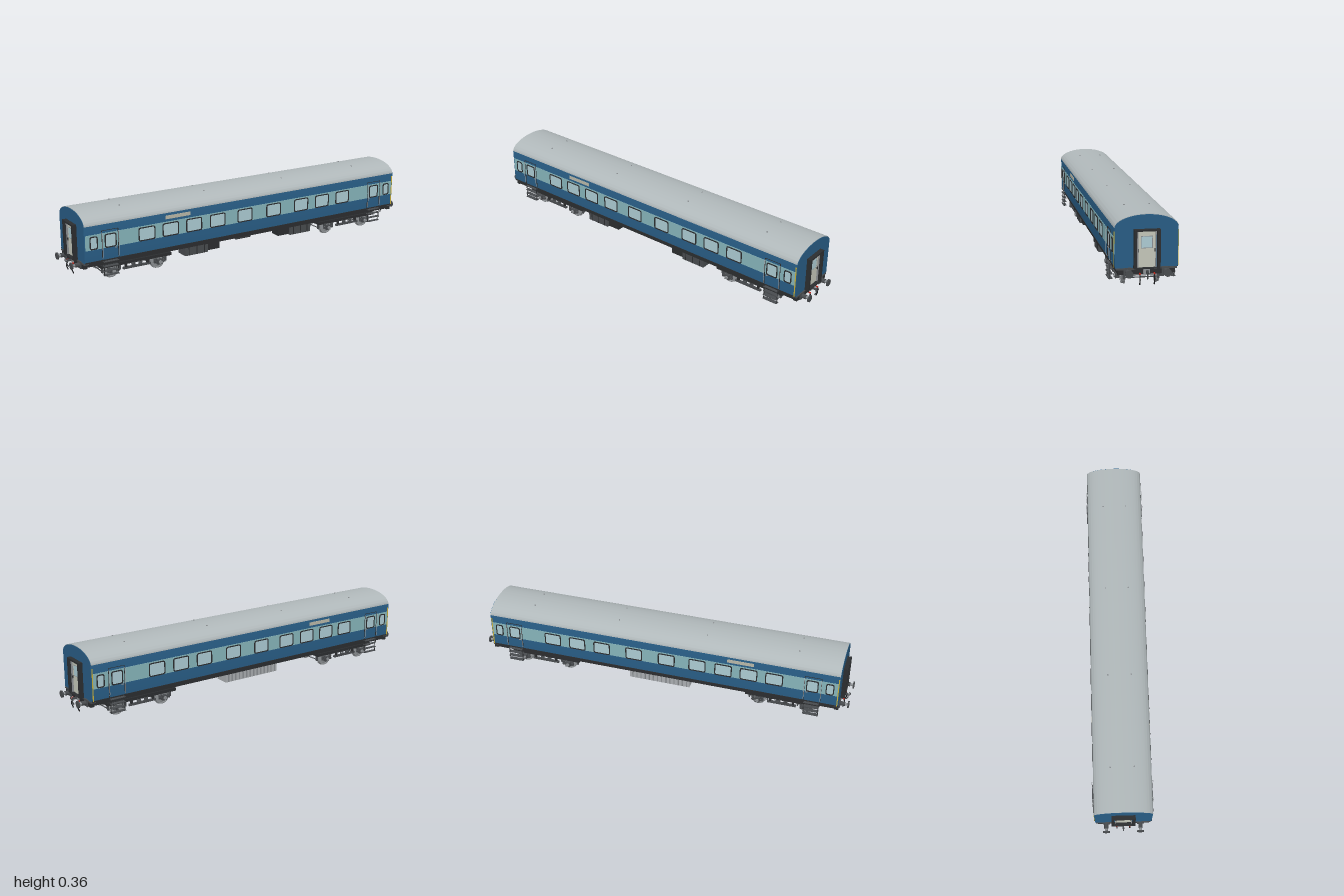
import * as THREE from 'three';
import { toCreasedNormals } from 'three/addons/utils/BufferGeometryUtils.js';

const mat = (color) => new THREE.MeshStandardMaterial({ color, side: THREE.DoubleSide });
const M = {
  blue: mat(0x285c84), band: mat(0x86b4ba), roof: mat(0xb0b8ba), dark: mat(0x2b2d2f), black: mat(0x1c1d1f),
  iron: mat(0x484b4e), steel: mat(0x8c9093), grey: mat(0xa9adb0), glass: mat(0xaccbd3), cream: mat(0xc3c6b9),
  yellow: mat(0xc9b03a), red: mat(0xc02418), board: mat(0xb9b8a8),
};

export function createModel() {
  const root = new THREE.Group();
  root.name = 'passengerCoach';
  const add = (name, geo, m, x = 0, y = 0, z = 0, parent = root) => {
    const mesh = new THREE.Mesh(geo, m);
    mesh.name = name;
    mesh.position.set(x, y, z);
    parent.add(mesh);
    return mesh;
  };
  const box = (name, m, w, h, d, x, y, z, parent) => add(name, new THREE.BoxGeometry(w, h, d), m, x, y, z, parent);
  // cylinder along the given axis
  const rod = (name, m, r, len, axis, x, y, z, parent, seg = 16) => {
    const g = new THREE.CylinderGeometry(r, r, len, seg);
    if (axis === 'x') g.rotateZ(Math.PI / 2);
    if (axis === 'z') g.rotateX(Math.PI / 2);
    return add(name, g, m, x, y, z, parent);
  };
  const tube = (name, m, pts, r, parent) => add(name, new THREE.TubeGeometry(
    new THREE.CatmullRomCurve3(pts.map((p) => new THREE.Vector3(...p)), false, 'catmullrom', 0.2), 16, r, 6), m, 0, 0, 0, parent);
  const group = (name) => { const g = new THREE.Group(); g.name = name; root.add(g); return g; };
  // cross-section in (z, y) extruded along the coach
  const alongX = (shape, len) => {
    const g = new THREE.ExtrudeGeometry(shape, { depth: len, bevelEnabled: false, curveSegments: 32 });
    g.translate(0, 0, -len / 2).rotateY(Math.PI / 2);
    return toCreasedNormals(g, 0.5);
  };
  const roundRect = (w, h, r, C = THREE.Shape) => {
    const s = new C(), x = w / 2, y = h / 2;
    s.moveTo(-x + r, -y);
    s.lineTo(x - r, -y); s.quadraticCurveTo(x, -y, x, -y + r);
    s.lineTo(x, y - r); s.quadraticCurveTo(x, y, x - r, y);
    s.lineTo(-x + r, y); s.quadraticCurveTo(-x, y, -x, y - r);
    s.lineTo(-x, -y + r); s.quadraticCurveTo(-x, -y, -x + r, -y);
    return s;
  };

  // body shell with arched ends
  const section = new THREE.Shape();
  section.moveTo(-0.143, 0.118);
  section.lineTo(0.143, 0.118);
  section.lineTo(0.145, 0.30);
  section.absellipse(0, 0.30, 0.145, 0.06, 0, Math.PI, false);
  section.closePath();
  add('bodyShell', alongX(section, 1.9), M.blue);

  // thin roof skin
  const skin = new THREE.Shape();
  skin.moveTo(0.1465, 0.304);
  skin.absellipse(0, 0.302, 0.1465, 0.0605, 0.03, Math.PI - 0.03, false);
  skin.absellipse(0, 0.30, 0.143, 0.058, Math.PI - 0.03, 0.03, true);
  add('roof', alongX(skin, 1.896), M.roof);
  for (const x of [-0.72, -0.24, 0.24, 0.72]) for (const z of [-0.06, 0.06])
    rod('roofVent', M.steel, 0.004, 0.006, 'y', x, 0.357, z, root, 8);

  // sides
  const windowFrame = (w, h) => {
    const s = roundRect(w, h, 0.012);
    s.holes.push(roundRect(w - 0.01, h - 0.01, 0.009, THREE.Path));
    return new THREE.ExtrudeGeometry(s, { depth: 0.004, bevelEnabled: false, curveSegments: 5 }).translate(0, 0, -0.002);
  };
  const windows = [-0.617, -0.484, -0.35, -0.211, -0.045, 0.134, 0.313, 0.452, 0.591].map((x) => [x, 0.092, 0.07]);
  for (const e of [-1, 1]) windows.push([e * 0.813, 0.062, 0.07], [e * 0.902, 0.042, 0.066]);
  for (const s of [-1, 1]) {
    const side = group(s > 0 ? 'frontSide' : 'backSide');
    box('windowBand', M.band, 1.89, 0.076, 0.003, 0, 0.221, s * 0.1447, side);
    box('lowerTrim', M.dark, 1.9, 0.006, 0.004, 0, 0.121, s * 0.143, side);
    for (const [x, w, h] of windows) {
      add('windowFrame', windowFrame(w, h), M.dark, x, 0.218, s * 0.1475, side);
      add('windowGlass', new THREE.ShapeGeometry(roundRect(w - 0.008, h - 0.008, 0.01)), M.glass, x, 0.218, s * 0.1468, side);
    }
    for (const e of [-1, 1]) {
      // door outline, handrails and handle
      for (const x of [0.772, 0.858]) {
        box('doorSeam', M.dark, 0.003, 0.145, 0.002, e * x, 0.199, s * 0.1458, side);
        tube('doorHandrail', M.grey, [[e * x, 0.132, s * 0.144], [e * x, 0.14, s * 0.153], [e * x, 0.255, s * 0.154], [e * x, 0.263, s * 0.145]], 0.0014, side);
      }
      box('doorTopSeam', M.dark, 0.086, 0.002, 0.002, e * 0.815, 0.272, s * 0.1458, side);
      box('doorHandle', M.steel, 0.012, 0.003, 0.004, e * 0.785, 0.178, s * 0.147, side);
      if (s < 0 || e > 0) box('cornerStripe', M.yellow, 0.005, 0.165, 0.002, e * 0.944, 0.204, s * 0.1462, side);
    }
    box('destinationBoard', M.board, 0.14, 0.018, 0.003, -0.44, 0.281, s * 0.1458, side);
  }

  // ends
  for (const e of [-1, 1]) {
    const end = group('coachEnd');
    const frame = new THREE.Shape();
    frame.moveTo(-0.06, 0.116); frame.lineTo(0.06, 0.116); frame.lineTo(0.06, 0.295); frame.lineTo(-0.06, 0.295); frame.closePath();
    const hole = new THREE.Path();
    hole.moveTo(-0.047, 0.12); hole.lineTo(-0.047, 0.287); hole.lineTo(0.047, 0.287); hole.lineTo(0.047, 0.12); hole.closePath();
    frame.holes.push(hole);
    add('gangwayFrame', alongX(frame, 0.024), M.dark, e * 0.96, 0, 0, end);
    box('endDoor', M.cream, 0.004, 0.167, 0.078, e * 0.951, 0.2035, 0, end);
    box('doorWindowFrame', M.steel, 0.003, 0.056, 0.054, e * 0.953, 0.235, 0, end);
    box('doorWindow', M.glass, 0.003, 0.05, 0.048, e * 0.954, 0.235, 0, end);
    for (const s of [-1, 1]) {
      box('doorPost', M.steel, 0.012, 0.167, 0.004, e * 0.955, 0.2035, s * 0.041, end);
      box('endDoorHandle', M.dark, 0.006, 0.014, 0.003, e * 0.956, 0.198, s * 0.037, end);
      // buffers
      box('bufferBase', M.iron, 0.006, 0.036, 0.036, e * 0.953, 0.102, s * 0.087, end);
      rod('bufferSleeve', M.iron, 0.011, 0.026, 'x', e * 0.966, 0.102, s * 0.087, end);
      rod('bufferStem', M.steel, 0.007, 0.018, 'x', e * 0.985, 0.102, s * 0.087, end);
      rod('bufferHead', M.iron, 0.018, 0.007, 'x', e * 0.9965, 0.102, s * 0.087, end, 24);
      // brake hoses
      tube('brakeHose', M.black, [[e * 0.95, 0.096, s * 0.033], [e * 0.966, 0.092, s * 0.033], [e * 0.972, 0.065, s * 0.033], [e * 0.964, 0.043, s * 0.033]], 0.003, end);
      rod('hoseCock', M.red, 0.004, 0.01, 'x', e * 0.966, 0.094, s * 0.033, end, 8);
    }
    box('headstock', M.dark, 0.02, 0.024, 0.26, e * 0.942, 0.1, 0, end);
    box('headstockLip', M.iron, 0.026, 0.008, 0.276, e * 0.94, 0.114, 0, end);
    box('couplerPlate', M.steel, 0.008, 0.022, 0.03, e * 0.955, 0.102, 0, end);
    box('couplerShank', M.iron, 0.03, 0.01, 0.008, e * 0.968, 0.102, 0, end);
    const hook = add('couplingHook', new THREE.TorusGeometry(0.008, 0.003, 8, 16, Math.PI * 1.4), M.iron, e * 0.984, 0.106, 0, end);
    hook.rotation.z = e > 0 ? Math.PI : Math.PI * 0.6;
    tube('couplingLink', M.iron, [[e * 0.978, 0.1, 0], [e * 0.983, 0.085, 0], [e * 0.975, 0.07, 0]], 0.003, end);
  }

  // underframe
  const under = group('underframe');
  box('floor', M.dark, 1.88, 0.01, 0.27, 0, 0.113, 0, under);
  for (const s of [-1, 1]) {
    box('solebar', M.dark, 1.88, 0.022, 0.012, 0, 0.107, s * 0.128, under);
    box('innerSill', M.black, 1.84, 0.014, 0.008, 0, 0.103, s * 0.045, under);
  }
  for (let i = 0; i < 17; i++) box('crossMember', M.black, 0.01, 0.012, 0.25, -0.88 + i * 0.11, 0.104, 0, under);

  // underfloor equipment
  const gear = group('underfloorEquipment');
  for (const e of [-1, 1]) {
    box('batteryBox', M.iron, 0.135, 0.045, 0.07, e * 0.325, 0.073, 0.092, gear);
    box('batteryLid', M.dark, 0.14, 0.004, 0.074, e * 0.325, 0.097, 0.092, gear);
    for (const k of [-1, 0, 1]) box('boxRib', M.dark, 0.004, 0.043, 0.003, e * 0.325 + k * 0.045, 0.073, 0.128, gear);
    box('controlBox', M.dark, 0.07, 0.04, 0.06, e * 0.219, 0.076, 0.09, gear);
    rod('airReservoir', M.grey, 0.016, 0.18, 'x', e * 0.255, 0.07, -0.028, gear, 20);
    rod('vacuumCylinder', M.iron, 0.018, 0.06, 'x', e * 0.43, 0.07, 0, gear, 20);
    rod('brakeShaft', M.iron, 0.004, 0.2, 'z', e * 0.40, 0.085, 0, gear, 8);
    rod('brakePullRod', M.iron, 0.003, 0.24, 'x', e * 0.51, 0.075, 0.01, gear, 6);
  }
  box('coolingUnit', M.grey, 0.33, 0.05, 0.08, 0, 0.075, -0.083, gear);
  for (let i = 0; i < 14; i++) box('louvre', M.steel, 0.006, 0.044, 0.006, -0.15 + i * 0.023, 0.075, -0.124, gear);
  for (const x of [-0.12, -0.04, 0.04, 0.12]) rod('coolingFan', M.black, 0.027, 0.003, 'y', x, 0.05, -0.083, gear, 24);
  box('compressor', M.dark, 0.12, 0.03, 0.05, 0, 0.075, 0.01, gear);
  rod('compressorMotor', M.iron, 0.015, 0.09, 'x', 0, 0.072, 0.05, gear);

  // bogies
  const wheelGeo = toCreasedNormals(new THREE.LatheGeometry([
    [0, -0.004], [0.012, -0.005], [0.03, -0.002], [0.032, -0.007], [0.041, -0.007], [0.041, -0.004],
    [0.038, -0.003], [0.037, 0.007], [0.032, 0.007], [0.03, 0.003], [0.012, 0.007], [0, 0.007],
  ].map((p) => new THREE.Vector2(...p)), 28).rotateX(Math.PI / 2), 0.5);
  for (const e of [-1, 1]) {
    const bogie = group('bogie');
    bogie.position.x = e * 0.658;
    box('bolster', M.dark, 0.05, 0.03, 0.2, 0, 0.082, 0, bogie);
    rod('centrePivot', M.iron, 0.022, 0.02, 'y', 0, 0.101, 0, bogie);
    for (const x of [-0.055, 0.055]) box('transom', M.dark, 0.012, 0.022, 0.2, x, 0.072, 0, bogie);
    for (const x of [-0.19, 0.19]) box('endBeam', M.dark, 0.008, 0.012, 0.21, x, 0.072, 0, bogie);
    for (const s of [-1, 1]) {
      box('sideFrame', M.dark, 0.39, 0.016, 0.012, 0, 0.074, s * 0.104, bogie);
      box('equalizerBar', M.iron, 0.15, 0.01, 0.012, 0, 0.047, s * 0.108, bogie);
      for (const x of [-0.06, 0.06]) box('bolsterHanger', M.dark, 0.01, 0.03, 0.01, x, 0.06, s * 0.108, bogie);
      for (const x of [-0.02, 0.02]) for (let k = 0; k < 4; k++) {
        add('bolsterSpring', new THREE.TorusGeometry(0.009, 0.002, 6, 14).rotateX(Math.PI / 2), M.iron, x, 0.054 + k * 0.005, s * 0.11, bogie);
      }
      for (const w of [-1, 1]) {
        const x = w * 0.128;
        const wheel = add('wheel', wheelGeo, M.steel, x, 0.041, s * 0.08, bogie);
        if (s < 0) wheel.rotation.y = Math.PI;
        box('axleBox', M.iron, 0.026, 0.026, 0.02, x, 0.043, s * 0.105, bogie);
        rod('axleCap', M.steel, 0.009, 0.006, 'z', x, 0.043, s * 0.117, bogie);
        for (const d of [-0.024, 0.024]) {
          rod('springSeat', M.iron, 0.009, 0.005, 'y', x + d, 0.042, s * 0.106, bogie);
          for (let k = 0; k < 5; k++)
            add('axleSpring', new THREE.TorusGeometry(0.007, 0.0018, 6, 12).rotateX(Math.PI / 2), M.iron, x + d, 0.047 + k * 0.005, s * 0.106, bogie);
        }
        for (const d of [-0.048, 0.048]) box('brakeBlock', M.iron, 0.007, 0.024, 0.012, x + d, 0.045, s * 0.08, bogie);
      }
    }
    for (const w of [-1, 1]) {
      rod('axle', M.grey, 0.007, 0.2, 'z', w * 0.128, 0.041, 0, bogie);
      for (const d of [-0.05, 0.05]) rod('brakeBeam', M.iron, 0.003, 0.17, 'z', w * 0.128 + d, 0.042, 0, bogie, 6);
    }
  }

  // hanging steps below the doors
  for (const e of [-1, 1]) for (const s of [-1, 1]) {
    const steps = group('doorSteps');
    for (const x of [0.777, 0.853]) box('stepHanger', M.dark, 0.003, 0.076, 0.003, e * x, 0.08, s * 0.149, steps);
    for (const y of [0.045, 0.067, 0.09, 0.114]) box('stepTread', M.iron, 0.08, 0.003, 0.02, e * 0.815, y, s * 0.146, steps);
    for (const x of [0.777, 0.853]) box('stepBracket', M.dark, 0.004, 0.004, 0.022, e * x, 0.112, s * 0.138, steps);
  }
  return root;
}
